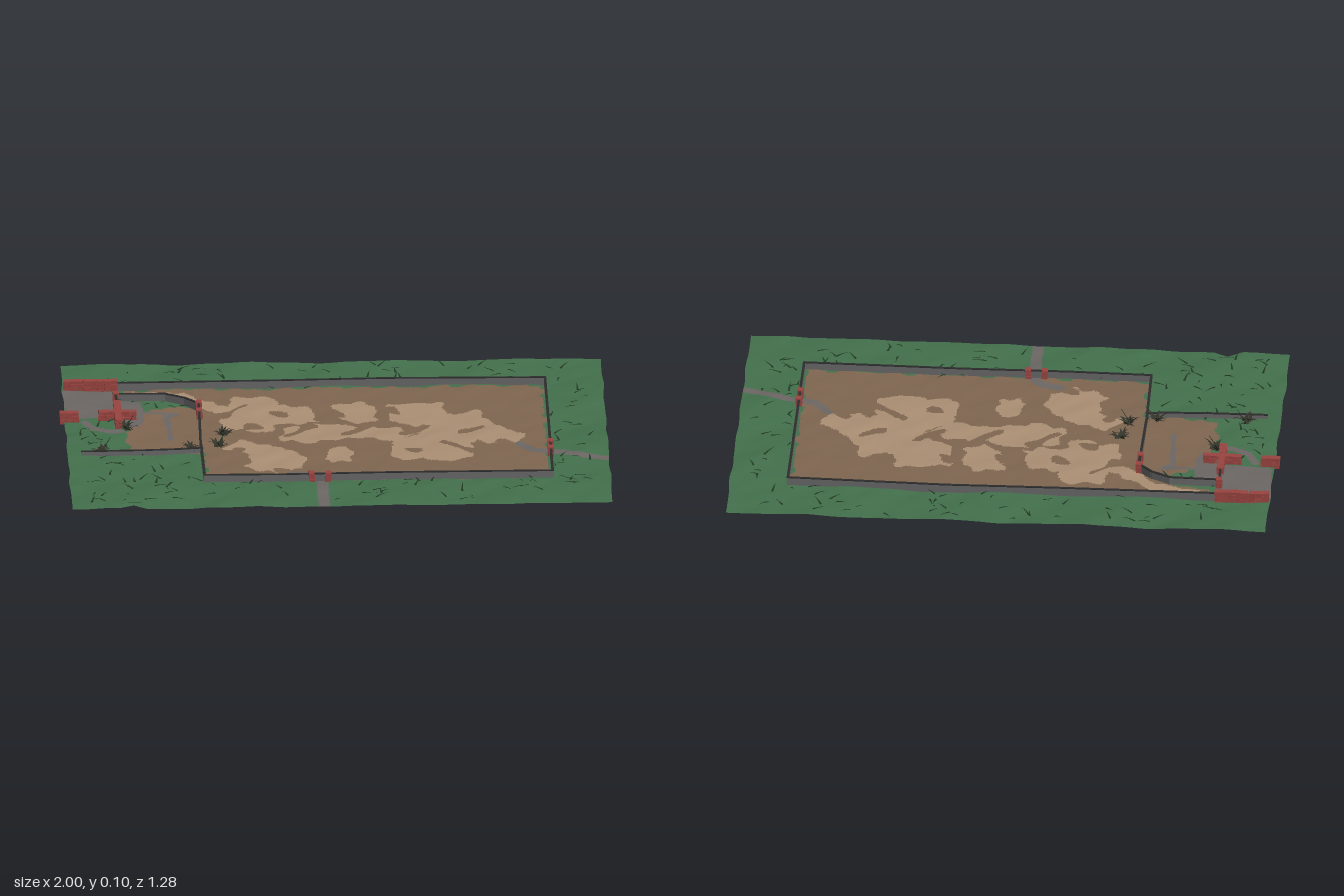
import * as THREE from 'three';
import { mergeGeometries } from 'three/addons/utils/BufferGeometryUtils.js';

const mat = (color, extra = {}) => new THREE.MeshStandardMaterial({ color, ...extra });
const both = { side: THREE.DoubleSide };
const M = {
  grass: mat(0x43704c, both), soil: mat(0x7f6650, both), sand: mat(0xab8f73, both), paving: mat(0x6c6764, both),
  wall: mat(0x686868), coping: mat(0x2c2c2c), brick: mat(0x9a4440, { flatShading: true }),
  blade: mat(0x1f3823, both), shrub: mat(0x34352a, both),
};

// seeded random numbers
let seed = 7;
const rnd = () => ((seed = (seed * 16807) % 2147483647) / 2147483647);
const spread = (a) => (rnd() - 0.5) * 2 * a;

// smooth waves for height and ragged borders
const wave = (x, z, f) => (Math.sin(x * f + 1.7 * Math.sin(z * f * 0.8)) + Math.sin(z * f * 1.2 + 1.3 * Math.cos(x * f * 0.9))) / 2;
const height = (x, z) => {
  const inside = x > -0.49 && x < 0.78 && Math.abs(z) < 0.42;
  return 0.041 + (inside ? 0.002 : 0.0045) * wave(x, z, 13) + 0.0015 * wave(x, z, 37);
};

// outlines of the coloured areas of the ground, as [x, z]
const sandPatches = [
  [[-.73, -.4], [-.54, -.38], [-.45, -.29], [-.38, -.25], [-.36, -.34], [-.22, -.33], [-.2, -.26], [-.08, -.24], [-.06, -.12], [-.13, -.08], [-.2, -.1], [-.25, -.02], [-.4, -.06], [-.42, -.17], [-.49, -.25], [-.56, -.32], [-.72, -.36]],
  [[0, -.26], [.08, -.28], [.15, -.25], [.16, -.12], [.08, -.08], [.02, -.14]],
  [[.2, -.25], [.35, -.27], [.41, -.25], [.4, -.16], [.53, -.2], [.56, -.1], [.62, -.03], [.69, .02], [.66, .12], [.5, .08], [.5, .22], [.4, .25], [.2, .22], [.2, .05], [.3, .02], [.3, -.06], [.2, -.1]],
  [[-.18, -.06], [-.02, -.1], [.1, -.05], [.2, -.06], [.3, 0], [.2, .06], [.05, .04], [-.1, .08], [-.2, .05]],
  [[-.36, .05], [-.2, .1], [-.12, .2], [-.13, .29], [-.22, .35], [-.35, .28], [-.31, .18], [-.42, .12]],
  [[-.04, .13], [.05, .12], [.06, .24], [-.03, .26]],
];
const soilPatches = [
  [[-.48, -.41], [.77, -.41], [.77, .405], [-.48, .405]],
  [[-.7, -.2], [-.6, -.26], [-.48, -.26], [-.48, .16], [-.62, .16], [-.75, .13], [-.77, 0]],
  [[-.76, -.41], [-.47, -.41], [-.47, -.22], [-.6, -.32], [-.76, -.35]],
];
const yards = [
  [[-.99, -.41], [-.78, -.41], [-.78, -.17], [-.97, -.17]],
  [[-.8, -.32], [-.7, -.31], [-.69, -.14], [-.72, -.08], [-.8, -.08]],
];
const tracks = [
  { w: .02, p: [[-.06, .66], [-.06, .4], [-.09, .36], [-.16, .345]] },
  { w: .018, p: [[.67, .11], [.72, .17], [.82, .19], [.9, .22], [1, .25]] },
  { w: .01, p: [[-.72, -.21], [-.57, -.2], [-.61, -.18], [-.6, .03]] },
  { w: .015, p: [[-.91, -.14], [-.88, -.08], [-.82, -.05], [-.78, -.05]] },
];
const inPoly = (x, z, p) => {
  let hit = false;
  for (let i = 0, j = p.length - 1; i < p.length; j = i++) {
    const [a, b] = p[i], [c, d] = p[j];
    if (b > z !== d > z && x < ((c - a) * (z - b)) / (d - b) + a) hit = !hit;
  }
  return hit;
};
const nearLine = (x, z, { w, p }) => p.slice(1).some(([cx, cz], i) => {
  const [ax, az] = p[i], dx = cx - ax, dz = cz - az;
  const t = THREE.MathUtils.clamp(((x - ax) * dx + (z - az) * dz) / (dx * dx + dz * dz), 0, 1);
  return Math.hypot(x - ax - dx * t, z - az - dz * t) < w;
});
function region(x, z) {
  const u = x + 0.012 * wave(x, z, 60), v = z + 0.012 * wave(z, x, 55);
  if (tracks.some((t) => nearLine(x, z, t)) || yards.some((p) => inPoly(x, z, p))) return 'paving';
  if (sandPatches.some((p) => inPoly(u, v, p)) && wave(x + 0.3, z, 31) > -0.72) return 'sand';
  if (soilPatches.some((p) => inPoly(u, v, p))) return 'soil';
  return 'grass';
}

// one rolling sheet, split by area into separate meshes that share normals
function addGround(group) {
  const nx = 240, nz = 156;
  const sheet = new THREE.PlaneGeometry(1.97, 1.28, nx, nz).rotateX(-Math.PI / 2).translate(0.005, 0, 0);
  const pos = sheet.attributes.position;
  for (let i = 0; i < pos.count; i++) {
    let x = pos.getX(i), z = pos.getZ(i);
    const y = height(x, z);
    z *= 1 + 0.005 * wave(x, 0, 24) * Math.abs(z);
    x *= 1 + 0.006 * wave(z, 1, 22) * Math.abs(x);
    // worn notch in the front edge
    if (z > 0.6) z -= 0.03 * Math.max(0, 1 - Math.abs(x + 0.755) / 0.05);
    pos.setXYZ(i, x, y, z);
  }
  sheet.computeVertexNormals();
  const parts = { grass: [], soil: [], sand: [], paving: [] };
  const idx = sheet.index.array;
  for (let t = 0; t < idx.length; t += 3) {
    const tri = [idx[t], idx[t + 1], idx[t + 2]];
    const x = tri.reduce((s, k) => s + pos.getX(k), 0) / 3, z = tri.reduce((s, k) => s + pos.getZ(k), 0) / 3;
    parts[region(x, z)].push(...tri);
  }
  for (const name in parts) {
    const g = new THREE.BufferGeometry();
    g.setAttribute('position', pos);
    g.setAttribute('normal', sheet.attributes.normal);
    g.setIndex(parts[name]);
    add(group, name + 'Ground', g, M[name]);
  }
}

function add(group, name, geometry, material) {
  const mesh = new THREE.Mesh(geometry, material);
  mesh.name = name;
  group.add(mesh);
}

// thin wall with a dark coping along a line of points
function addWall(group, name, pts, low = 0.016, high = 0.068) {
  const body = [], cap = [];
  pts.slice(1).forEach(([bx, bz], i) => {
    const [ax, az] = pts[i], len = Math.hypot(bx - ax, bz - az), angle = -Math.atan2(bz - az, bx - ax);
    const bar = (h, w, y) => new THREE.BoxGeometry(len + 0.006, h, w).rotateY(angle).translate((ax + bx) / 2, y, (az + bz) / 2);
    body.push(bar(high - low, 0.007, (high + low) / 2));
    cap.push(bar(0.003, 0.009, high + 0.001));
  });
  add(group, name, mergeGeometries(body), M.wall);
  add(group, name + 'Coping', mergeGeometries(cap), M.coping);
}

// courses of uneven bricks filling a box
function addBricks(group, name, x, z, lx, lz, low, high) {
  const bricks = [], rows = Math.max(2, Math.round((high - low) / 0.013)), h = (high - low) / rows;
  const n = Math.max(1, Math.round(Math.max(lx, lz) / 0.024)), alongX = lx >= lz;
  for (let r = 0; r < rows; r++) for (let i = 0; i < n; i++) {
    const o = ((i + 0.5) / n - 0.5) * Math.max(lx, lz);
    const w = alongX ? lx / n : lx, d = alongX ? lz : lz / n;
    bricks.push(new THREE.BoxGeometry(w * 0.97, h * 0.95, d * 0.97).rotateY(spread(0.12))
      .translate(x + (alongX ? o : 0) + spread(0.0015), low + (r + 0.5) * h, z + (alongX ? 0 : o) + spread(0.0015)));
  }
  add(group, name, mergeGeometries(bricks), M.brick);
}

// narrow bent leaf, flat or upright according to rise
function leaf(x, z, angle, length, width, rise) {
  const g = new THREE.PlaneGeometry(length, width, 3, 1).rotateX(-Math.PI / 2).translate(length / 2, 0, 0);
  const p = g.attributes.position;
  for (let i = 0; i < p.count; i++) {
    const t = p.getX(i) / length;
    p.setZ(i, p.getZ(i) * (1 - t));
    p.setY(i, rise * Math.sin(t * 2));
  }
  g.rotateY(angle).translate(x, height(x, z) + 0.002, z);
  g.computeVertexNormals();
  return g;
}

export function createModel() {
  const group = new THREE.Group();
  group.name = 'walledField';
  addGround(group);

  addWall(group, 'backWall', [[-.8, -.42], [-.2, -.423], [.2, -.43], [.78, -.418]]);
  addWall(group, 'rightWall', [[.78, -.418], [.78, .412]]);
  addWall(group, 'frontWall', [[.78, .412], [.2, .408], [-.2, .414], [-.49, .41]]);
  addWall(group, 'innerWall', [[-.49, .41], [-.495, .1], [-.49, -.23], [-.54, -.28], [-.61, -.318], [-.79, -.322], [-.79, -.1]]);
  addWall(group, 'sideWall', [[-.49, .15], [-.56, .158], [-.7, .165], [-.93, .168]], 0.016, 0.06);

  // gate posts
  [[-.1, .411], [-.04, .411], [.78, .21], [.78, .15], [-.49, -.235], [-.49, -.165], [-.79, -.325]].forEach(([x, z], i) =>
    addBricks(group, 'gatePost' + (i + 1), x, z, 0.022, 0.026, i === 2 || i === 3 ? 0 : 0.012, 0.075));
  // ruined brick walls of the yard
  addBricks(group, 'yardBackBricks', -.88, -.422, .2, .024, .018, .08);
  addBricks(group, 'yardLongBricks', -.788, -.16, .026, .18, .03, .077);
  addBricks(group, 'yardCrossBricks', -.79, -.155, .14, .024, .03, .076);
  addBricks(group, 'yardSideBricks', -.965, -.155, .07, .024, .03, .074);

  // grass blades scattered around the field
  const blades = [];
  while (blades.length < 170) {
    const x = spread(0.93), z = spread(0.6);
    if (region(x, z) === 'grass') blades.push(leaf(x, z, rnd() * 6.28, 0.025 + rnd() * 0.035, 0.009, 0.004 + rnd() * 0.007));
  }
  add(group, 'grassBlades', mergeGeometries(blades), M.blade);

  // low leafy shrubs
  [[-.86, .14], [-.53, .13], [-.43, .1], [-.405, 0], [-.755, -.06]].forEach(([x, z], i) => {
    const leaves = [];
    for (let k = 0; k < 16; k++) leaves.push(leaf(x + spread(.012), z + spread(.012), k * 0.39 + spread(.2), 0.025 + rnd() * 0.015, 0.016, 0.008 + rnd() * 0.02));
    add(group, 'shrub' + (i + 1), mergeGeometries(leaves), M.shrub);
  });
  // tall stalks
  const stalks = [[-.85, .13], [-.43, .1], [-.76, -.06]].map(([x, z], i) =>
    new THREE.CylinderGeometry(0.001, 0.002, i === 1 ? 0.07 : 0.06, 5).rotateZ(-0.5).translate(x + 0.01, 0.072, z));
  add(group, 'stalks', mergeGeometries(stalks), M.blade);
  return group;
}
